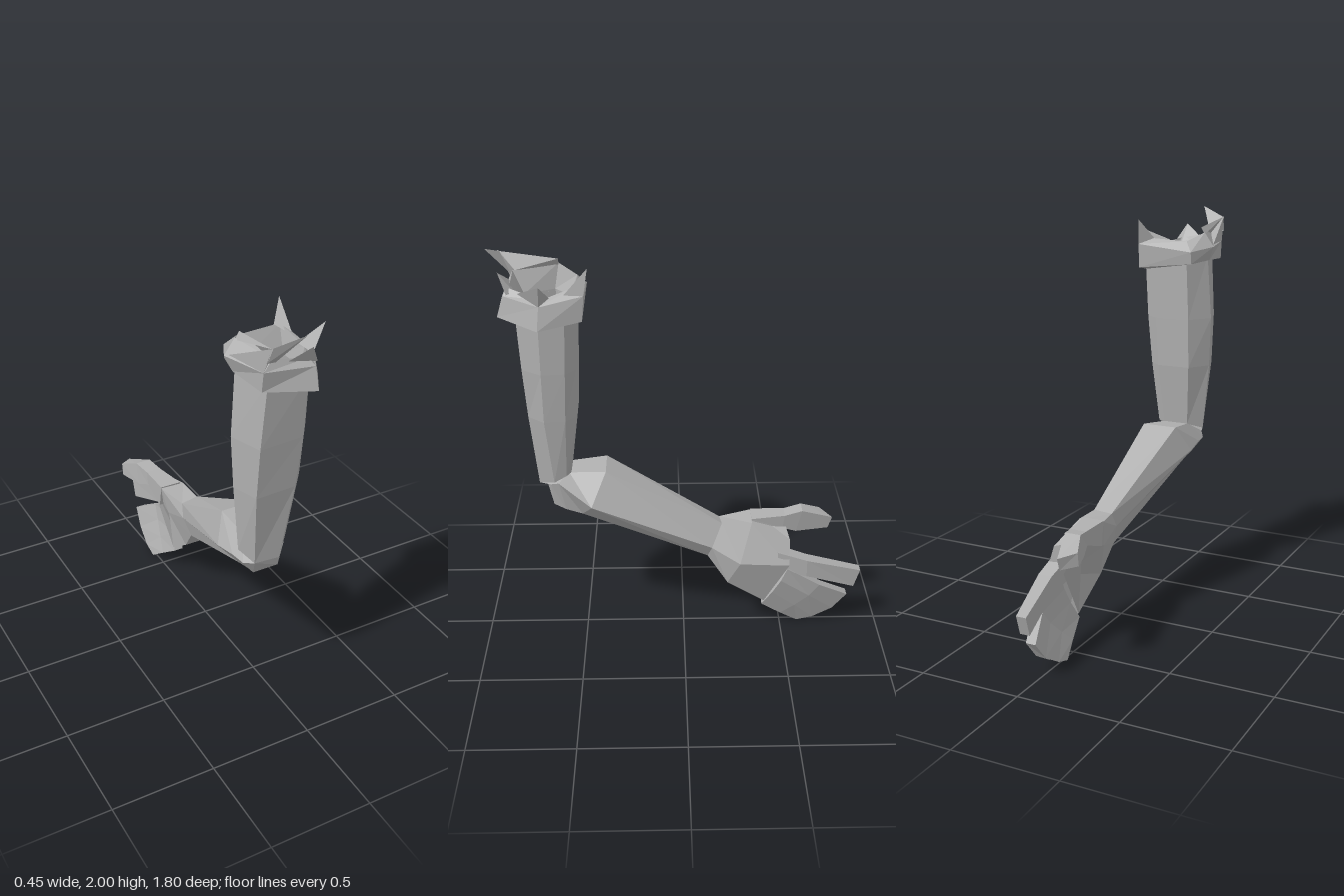
import * as THREE from 'three';

const skin = new THREE.MeshStandardMaterial({ color: 0xb0b0b0, flatShading: true, side: THREE.DoubleSide });
skin.name = 'plain grey';

// Skin a list of equal-sized point rings, with optional fan caps
function loft(name, rings, capStart = false, capEnd = false) {
  const n = rings[0].length, index = [];
  for (let r = 0; r < rings.length - 1; r++) {
    for (let i = 0; i < n; i++) {
      const a = r * n + i, b = r * n + (i + 1) % n;
      index.push(a, b, b + n, a, b + n, a + n);
    }
  }
  const last = (rings.length - 1) * n;
  for (let i = 1; i < n - 1; i++) {
    if (capStart) index.push(0, i + 1, i);
    if (capEnd) index.push(last, last + i, last + i + 1);
  }
  return build(name, rings.flat(2), index);
}

function build(name, positions, index) {
  let geo = new THREE.BufferGeometry();
  geo.setAttribute('position', new THREE.Float32BufferAttribute(positions, 3));
  geo.setIndex(index);
  geo = geo.toNonIndexed();
  geo.computeVertexNormals();
  const mesh = new THREE.Mesh(geo, skin);
  mesh.name = name;
  return mesh;
}

// Four-sided finger section: inner x, outer x, top (y, z), bottom (y, z)
const section = (xi, xo, yt, zt, yb, zb) => [[xi, yt, zt], [xo, yt, zt], [xo, yb, zb], [xi, yb, zb]];

export function createModel() {
  const arm = new THREE.Group();
  arm.name = 'bentArm';

  // Upper arm, from elbow to open shoulder end
  arm.add(loft('upperArm', [
    [[-.13, .82, .7], [-.01, .82, .71], [.07, .86, .63], [.06, .89, .57], [.02, .89, .55], [-.11, .89, .55], [-.17, .86, .62]],
    [[-.16, 1.2, .75], [.04, 1.2, .74], [.11, 1.2, .66], [.1, 1.2, .56], [.04, 1.2, .51], [-.13, 1.2, .51], [-.2, 1.2, .62]],
    [[-.16, 1.45, .77], [.06, 1.45, .755], [.13, 1.45, .66], [.12, 1.45, .55], [.05, 1.45, .5], [-.13, 1.45, .5], [-.21, 1.45, .61]],
    [[-.14, 1.76, .78], [.06, 1.74, .77], [.14, 1.7, .66], [.13, 1.72, .54], [.05, 1.74, .49], [-.12, 1.76, .49], [-.19, 1.77, .6]],
  ]));

  // Elbow, forearm, wrist and palm
  arm.add(loft('forearmAndPalm', [
    [[-.13, .82, .7], [-.01, .82, .71], [.05, .84, .65], [.03, .72, .64], [-.1, .72, .64], [-.16, .8, .65]],
    [[-.11, .89, .56], [.02, .89, .56], [.08, .86, .61], [.05, .7, .58], [-.09, .7, .58], [-.17, .8, .57]],
    [[-.12, .91, .38], [.06, .91, .38], [.15, .76, .45], [.06, .68, .5], [-.09, .68, .5], [-.18, .78, .45]],
    [[-.04, .6, -.18], [.05, .61, -.19], [.105, .5, -.14], [.06, .43, -.12], [-.02, .43, -.12], [-.05, .53, -.15]],
    [[-.08, .615, -.34], [.05, .61, -.34], [.15, .43, -.28], [.11, .3, -.22], [0, .3, -.22], [-.06, .48, -.3]],
    [[-.06, .57, -.51], [.08, .53, -.53], [.12, .4, -.53], [.07, .16, -.41], [.02, .16, -.41], [.03, .4, -.53]],
  ], true, true));

  // Thumb, bending inward
  arm.add(loft('thumb', [
    section(-.08, .03, .62, -.34, .5, -.36),
    section(-.08, 0, .62, -.51, .55, -.5),
    section(-.1, -.02, .635, -.6, .52, -.57),
    [[-.14, .59, -.7], [-.07, .57, -.76], [-.07, .51, -.74], [-.14, .525, -.69]],
  ], true, true));

  // Separate finger
  arm.add(loft('finger', [
    section(.03, .11, .47, -.47, .36, -.47),
    section(.04, .11, .42, -.62, .33, -.62),
    section(.01, .06, .33, -.9, .235, -.87),
  ], true, true));

  // Joined fingers: four [y, z, outer x, inner x] stations across each ring
  const fan = (stations) => [
    ...stations.map(([y, z, xo]) => [xo, y, z]),
    ...stations.map(([y, z, , xi]) => [xi, y, z]).reverse(),
  ];
  arm.add(loft('joinedFingers', [
    fan([[.38, -.52, .12, .05], [.31, -.49, .12, .05], [.23, -.45, .1, .04], [.14, -.4, .07, .02]]),
    fan([[.27, -.69, .1, .05], [.2, -.64, .09, .04], [.13, -.57, .07, .02], [.07, -.5, .05, 0]]),
    fan([[.18, -.84, .05, 0], [.09, -.77, .04, -.01], [.03, -.67, .03, -.02], [.005, -.59, .02, -.02]]),
  ], true, true));

  // Torn cuff: flared band that folds back into the arm
  arm.add(loft('cuffBand', [
    [[-.14, 1.75, .78], [.06, 1.71, .77], [.14, 1.68, .66], [.11, 1.7, .5], [-.12, 1.74, .49], [-.19, 1.75, .6]],
    [[-.18, 1.74, .8], [.06, 1.71, .85], [.18, 1.68, .66], [.13, 1.71, .46], [-.16, 1.74, .46], [-.2, 1.75, .6]],
    [[-.18, 1.83, .81], [.06, 1.81, .82], [.16, 1.79, .65], [.13, 1.83, .45], [-.16, 1.8, .45], [-.23, 1.82, .58]],
    [[-.13, 1.87, .79], [.04, 1.84, .79], [.12, 1.81, .64], [.09, 1.86, .49], [-.12, 1.85, .49], [-.18, 1.89, .58]],
    [[-.11, 1.76, .74], [.04, 1.74, .74], [.1, 1.72, .65], [.08, 1.74, .54], [-.1, 1.76, .53], [-.16, 1.77, .6]],
  ]));

  // Ragged points on the cuff: three base corners, then the tip
  const shards = [
    [[-.18, 1.83, .81], [-.13, 1.87, .78], [-.22, 1.83, .6], [-.17, 1.955, .86]],
    [[-.18, 1.88, .83], [-.12, 1.86, .8], [-.17, 1.95, .85], [-.04, 2, .9]],
    [[-.06, 1.85, .8], [.08, 1.82, .8], [.03, 1.82, .77], [.03, 1.91, .84]],
    [[.16, 1.79, .65], [.09, 1.83, .75], [.11, 1.81, .6], [.22, 1.9, .64]],
    [[.13, 1.83, .45], [.06, 1.86, .49], [.12, 1.82, .55], [.12, 1.955, .43]],
    [[-.18, 1.88, .58], [-.13, 1.87, .78], [-.17, 1.95, .85], [-.16, 1.915, .58]],
  ];
  shards.forEach((points) => arm.add(build('cuffShard', points.flat(), [0, 1, 3, 1, 2, 3, 2, 0, 3])));

  return arm;
}
